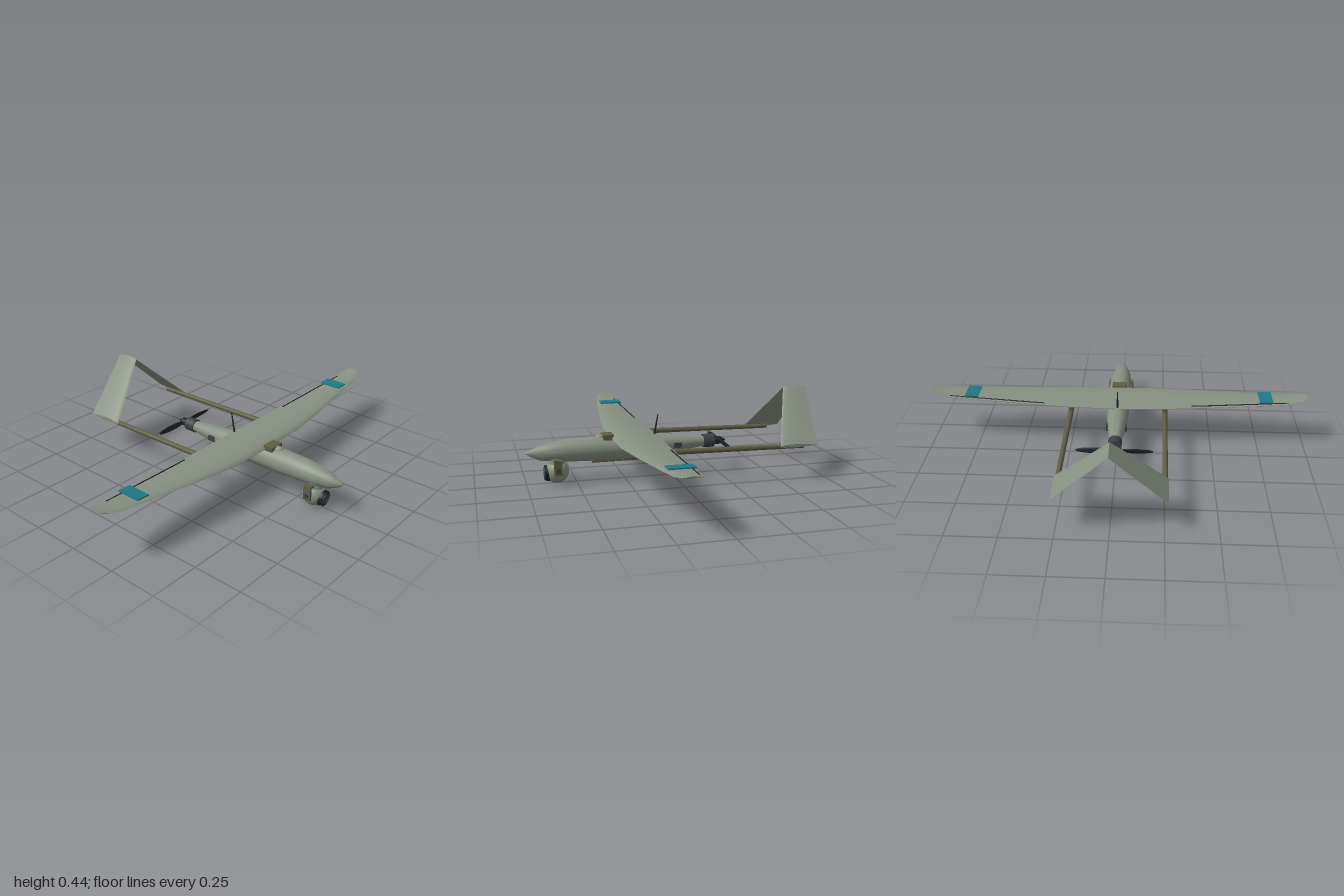
import * as THREE from 'three';
import { toCreasedNormals } from 'three/addons/utils/BufferGeometryUtils.js';

const paint = (name, color) => {
  const m = new THREE.MeshStandardMaterial({ color });
  m.name = name;
  return m;
};

// Skin over equal-length rings of [x, y, z], counter-clockwise about the loft direction
function loft(rings) {
  const n = rings[0].length, last = rings.length - 1;
  const pos = rings.flat(2), idx = [];
  for (let k = 0; k < last; k++) {
    for (let i = 0; i < n; i++) {
      const a = k * n + i, b = k * n + (i + 1) % n;
      idx.push(a, b, b + n, a, b + n, a + n);
    }
  }
  for (const k of [0, last]) {
    const c = pos.length / 3;
    const mid = [0, 1, 2].map(j => rings[k].reduce((s, p) => s + p[j], 0) / n);
    pos.push(...mid);
    for (let i = 0; i < n; i++) {
      const a = k * n + i, b = k * n + (i + 1) % n;
      if (k === 0) idx.push(c, b, a); else idx.push(c, a, b);
    }
  }
  const g = new THREE.BufferGeometry();
  g.setAttribute('position', new THREE.Float32BufferAttribute(pos, 3));
  g.setIndex(idx);
  return toCreasedNormals(g, 0.65);
}

// Airfoil as [fraction from trailing to leading edge, height per thickness]
const AIRFOIL = [[0, 0.04], [0.1, 0.16], [0.3, 0.42], [0.55, 0.6], [0.75, 0.6], [0.9, 0.42], [0.97, 0.22],
  [1, 0], [0.97, -0.18], [0.9, -0.28], [0.6, -0.4], [0.3, -0.25], [0, -0.04]];
// Stations are [x, trailing z, leading z, y, thickness], mirrored across x = 0
function mirroredWing(stations) {
  const left = stations.slice(1).reverse().map(([x, ...r]) => [-x, ...r]);
  return loft([...left, ...stations].map(([x, te, le, y, t]) =>
    AIRFOIL.map(([f, h]) => [x, y + h * t, te + f * (le - te)])));
}

export function createModel() {
  const root = new THREE.Group();
  root.name = 'surveillanceAircraft';
  const sage = paint('sageGrey', 0x869081);
  const olive = paint('olive', 0x5e5d45);
  const dark = paint('darkGrey', 0x3c4143);
  const black = paint('nearBlack', 0x202427);
  const teal = paint('teal', 0x1f7888);
  const glass = paint('lensGlass', 0x34485a);

  const add = (name, geo, mat, x = 0, y = 0, z = 0) => {
    const m = new THREE.Mesh(geo, mat);
    m.name = name;
    m.position.set(x, y, z);
    root.add(m);
    return m;
  };
  const box = (name, mat, w, h, d, x, y, z) => add(name, new THREE.BoxGeometry(w, h, d), mat, x, y, z);
  // Disc or barrel lying along z
  const barrel = (name, mat, rFront, rBack, len, y, z, x = 0) =>
    add(name, new THREE.CylinderGeometry(rFront, rBack, len, 24).rotateX(Math.PI / 2), mat, x, y, z);
  // Round rod between two points
  const rod = (name, mat, a, b, rA, rB) => {
    const A = new THREE.Vector3(...a), d = new THREE.Vector3(...b).sub(A);
    const m = add(name, new THREE.CylinderGeometry(rB, rA, d.length(), 14), mat);
    m.position.copy(A).addScaledVector(d, 0.5);
    m.quaternion.setFromUnitVectors(new THREE.Vector3(0, 1, 0), d.normalize());
    return m;
  };

  // Fuselage sections: z, bottom, top, half width
  const hull = [[-0.17, 0.142, 0.196, 0.03], [-0.05, 0.126, 0.21, 0.044], [0.06, 0.112, 0.219, 0.054],
    [0.2, 0.102, 0.224, 0.06], [0.4, 0.102, 0.225, 0.061], [0.54, 0.106, 0.221, 0.057],
    [0.61, 0.11, 0.211, 0.05], [0.68, 0.12, 0.196, 0.034], [0.73, 0.144, 0.175, 0.014], [0.744, 0.154, 0.166, 0.005]];
  add('fuselage', loft(hull.map(([z, lo, hi, rx]) => Array.from({ length: 32 }, (_, i) => {
    const a = i / 32 * Math.PI * 2;
    return [Math.cos(a) * rx, (lo + hi) / 2 + Math.sin(a) * (hi - lo) / 2, z];
  }))), sage);

  // Wing with upturned tips
  add('wing', mirroredWing([[0, 0.08, 0.322, 0.217, 0.042], [0.25, 0.088, 0.32, 0.219, 0.038],
    [0.5, 0.098, 0.291, 0.228, 0.028], [0.75, 0.107, 0.257, 0.24, 0.018], [0.9, 0.115, 0.236, 0.248, 0.013],
    [0.97, 0.127, 0.221, 0.262, 0.008], [1, 0.14, 0.21, 0.272, 0.005]]), sage);

  // Inverted V tail
  add('tail', mirroredWing([[0, -0.744, -0.615, 0.432, 0.017], [0.265, -0.7, -0.497, 0.175, 0.017]]), sage);

  for (const s of [-1, 1]) {
    rod('tailBoom', olive, [s * 0.25, 0.184, 0.17], [s * 0.25, 0.172, -0.628], 0.0145, 0.012);
    box('boomPylon', olive, 0.016, 0.03, 0.07, s * 0.25, 0.2, 0.13);
    rod('aileronGap', black, [s * 0.39, 0.229, 0.109], [s * 0.9, 0.25, 0.128], 0.003, 0.003);
    box('wingPanel', teal, 0.068, 0.006, 0.12, s * 0.783, 0.256, 0.175).rotation.z = s * 0.05;
    box('sideIntake', dark, 0.016, 0.026, 0.04, s * 0.046, 0.165, -0.02);
    // Camera yoke arms with pivots
    box('yokeArm', olive, 0.012, 0.072, 0.04, s * 0.065, 0.088, 0.597);
    const pivot = barrel('yokePivot', dark, 0.012, 0.012, 0.008, 0.075, 0.597, s * 0.073);
    pivot.rotation.y = Math.PI / 2;
    // Propeller blades
    const blade = add('propellerBlade', new THREE.SphereGeometry(1, 20, 12), black, s * 0.1, 0.168, -0.257);
    blade.scale.set(0.093, 0.015, 0.004);
    blade.rotation.x = s * 0.25;
  }

  // Engine and propeller hub
  barrel('engineCowl', dark, 0.035, 0.035, 0.058, 0.169, -0.197);
  barrel('propellerShaft', black, 0.01, 0.01, 0.03, 0.168, -0.235);
  barrel('propellerHub', black, 0.021, 0.021, 0.026, 0.168, -0.252);
  barrel('spinner', black, 0.02, 0.003, 0.026, 0.168, -0.278);

  // Camera ball
  barrel('cameraHousing', black, 0.038, 0.042, 0.036, 0.053, 0.641);
  add('cameraBall', new THREE.SphereGeometry(0.06, 32, 20), sage, 0, 0.06, 0.597);
  add('cameraNeck', new THREE.CylinderGeometry(0.042, 0.045, 0.03, 24), sage, 0, 0.118, 0.597);
  box('yokeBridge', olive, 0.13, 0.012, 0.04, 0, 0.122, 0.597);
  add('lensRing', new THREE.TorusGeometry(0.028, 0.003, 8, 28), dark, 0, 0.053, 0.659);
  barrel('mainLens', glass, 0.02, 0.02, 0.004, 0.053, 0.66);

  // Wing saddle, dome, whip antenna and belly rail
  box('wingSaddle', olive, 0.078, 0.034, 0.055, 0, 0.219, 0.337);
  const dome = add('saddleDome', new THREE.SphereGeometry(1, 20, 12), sage, 0, 0.22, 0.375);
  dome.scale.set(0.022, 0.016, 0.026);
  rod('antenna', black, [0, 0.222, 0.092], [0, 0.322, 0.073], 0.005, 0.003);
  box('bellyRail', olive, 0.026, 0.01, 0.2, 0, 0.098, 0.32);
  box('bellyBlade', dark, 0.02, 0.008, 0.21, 0, 0.097, 0.12);
  return root;
}
